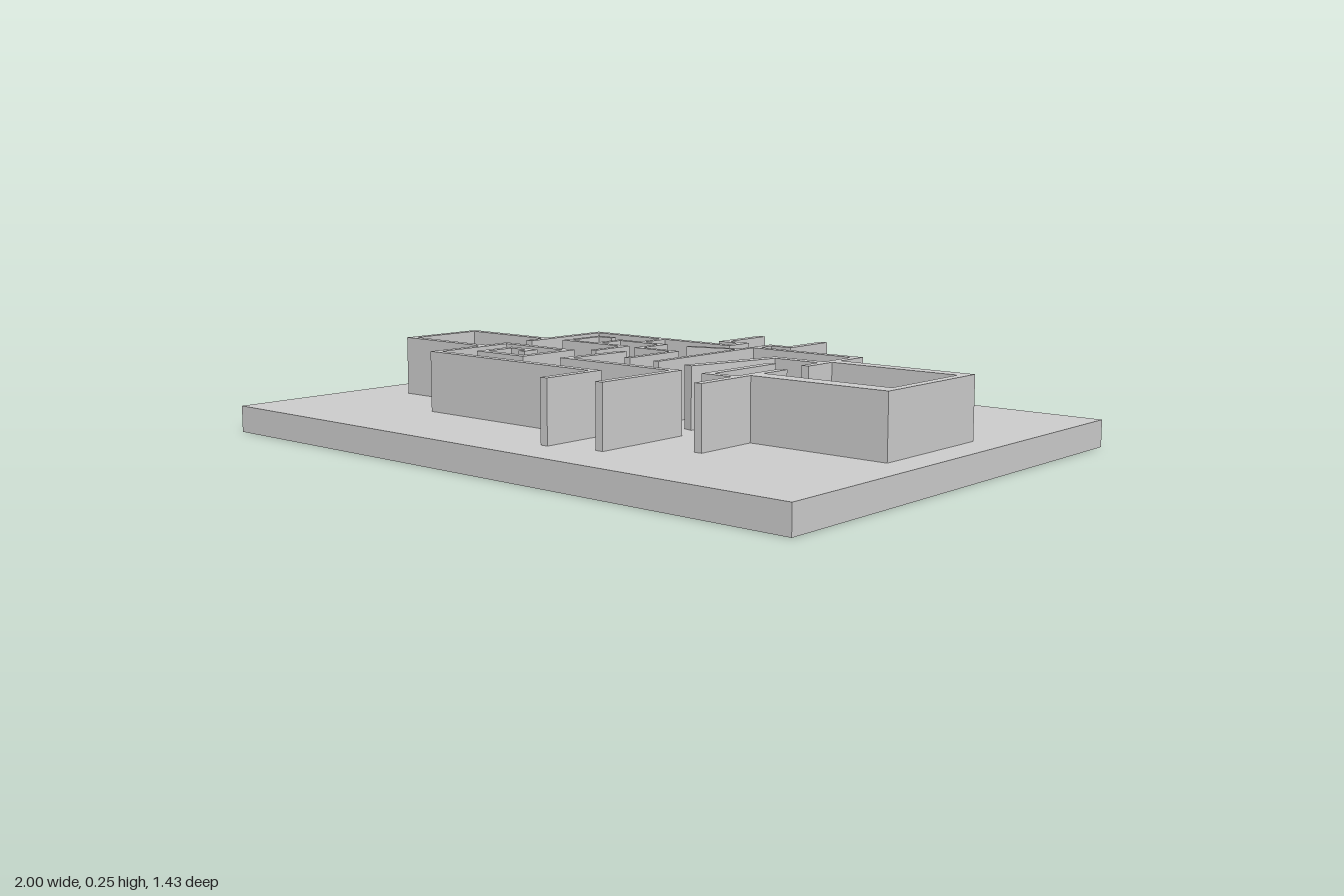
import * as THREE from 'three';

const FLOOR = 0.077, TOP = 0.25, THICK = 0.024;

// Mitred wall of constant thickness following a plan path of [x, z] points
function wallGeometry(path, thick) {
  const pts = path.map(([x, z]) => new THREE.Vector2(x, -z));
  const left = [], right = [];
  pts.forEach((p, i) => {
    const before = pts[i - 1] ? p.clone().sub(pts[i - 1]).normalize() : null;
    const after = pts[i + 1] ? pts[i + 1].clone().sub(p).normalize() : null;
    const a = before || after, b = after || before;
    const n = new THREE.Vector2(-a.y - b.y, a.x + b.x).normalize();
    const half = thick / 2 / (n.x * -a.y + n.y * a.x);
    left.push(p.clone().addScaledVector(n, half));
    right.unshift(p.clone().addScaledVector(n, -half));
  });
  const geo = new THREE.ExtrudeGeometry(new THREE.Shape([...left, ...right]), {
    depth: TOP - FLOOR, bevelEnabled: false,
  });
  return geo.rotateX(-Math.PI / 2).translate(0, FLOOR, 0);
}

// Name, plan path, optional thickness
const WALLS = [
  // outer shell
  ['backLeftEntranceWall', [[-0.037, -0.516], [-0.037, -0.334], [0.035, -0.334], [0.035, -0.265], [-0.492, -0.265], [-0.492, 0.04]]],
  ['backRightEntranceWall', [[0.2, -0.511], [0.2, -0.342], [0.131, -0.342], [0.131, -0.27], [0.484, -0.27], [0.484, -0.03]]],
  ['sideRoomWall', [[-0.492, -0.037], [-0.82, -0.037], [-0.82, 0.217], [-0.492, 0.217]]],
  ['frontWall', [[-0.492, 0.131], [-0.492, 0.404], [0.13, 0.404], [0.13, 0.59]]],
  ['frontHallWall', [[-0.094, 0.05], [-0.11, 0.265], [0.286, 0.265], [0.286, 0.553]]],
  // large room
  ['largeRoomBackWall', [[0.484, -0.157], [0.909, -0.157]], 0.043],
  ['largeRoomEndWall', [[0.896, -0.178], [0.896, 0.217]], 0.026],
  ['largeRoomFrontWall', [[0.472, 0.19], [0.909, 0.19]], 0.054],
  ['largeRoomDoorWall', [[0.484, 0.064], [0.484, 0.41]]],
  ['closetWall', [[0.388, -0.013], [0.388, 0.255], [0.484, 0.255]]],
  ['slantedWall', [[0.246, 0.168], [0.316, -0.12], [0.484, -0.12]], 0.03],
  // spiral room
  ['spiralWall', [[-0.504, 0.131], [-0.235, 0.131], [-0.235, 0.31], [-0.401, 0.31], [-0.401, 0.198], [-0.318, 0.198], [-0.318, 0.238]]],
  // inner partitions
  ['smallRoomStem', [[-0.214, -0.265], [-0.214, -0.15]], 0.02],
  ['smallRoomWall', [[-0.294, -0.045], [-0.294, -0.15], [-0.123, -0.15], [-0.123, -0.045], [0.013, -0.045], [0.013, 0.152]], 0.02],
  ['hookWall', [[-0.353, -0.184], [-0.414, -0.184], [-0.414, -0.045], [-0.178, -0.045], [-0.178, 0.088]], 0.02],
  ['centreWall', [[0.123, -0.27], [0.123, 0.158]], 0.018],
  ['diagonalWall', [[-0.037, -0.163], [0.123, -0.211]], 0.018],
];

export function createModel() {
  const model = new THREE.Group();
  const material = new THREE.MeshStandardMaterial({ color: 0xcccccc, flatShading: true });
  const add = (name, geometry) => {
    const mesh = new THREE.Mesh(geometry, material);
    mesh.name = name;
    model.add(mesh);
  };

  // ground slab
  add('baseSlab', new THREE.BoxGeometry(2, FLOOR, 1.43).translate(0, FLOOR / 2, 0));

  // floor plan walls
  for (const [name, path, thick = THICK] of WALLS) add(name, wallGeometry(path, thick));
  return model;
}
